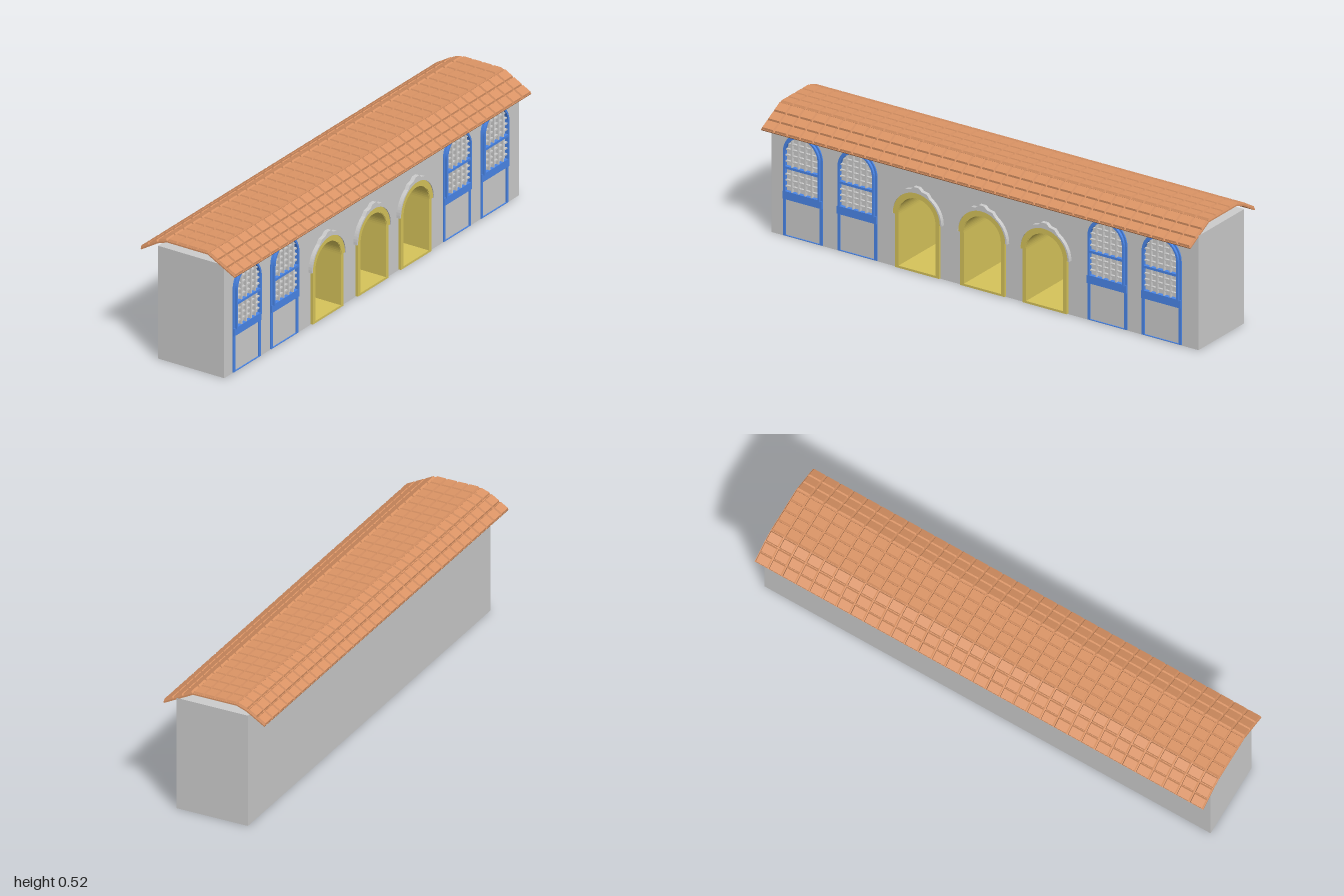
import * as THREE from 'three';
import { mergeGeometries } from 'three/addons/utils/BufferGeometryUtils.js';

const mat = (color) => new THREE.MeshStandardMaterial({ color, flatShading: true });
const GREY = mat(0xcccccc), BLUE = mat(0x4a86e8), YELLOW = mat(0xd6c35a), TILE = mat(0xdb9465);

const mesh = (name, geometry, material) => {
  const m = new THREE.Mesh(geometry, material);
  m.name = name;
  return m;
};
const extrude = (shape, z0, z1) =>
  new THREE.ExtrudeGeometry(shape, { depth: z1 - z0, bevelEnabled: false, curveSegments: 16 }).translate(0, 0, z0);
const block = (x0, x1, y0, y1, z0, z1) =>
  new THREE.BoxGeometry(x1 - x0, y1 - y0, z1 - z0).translate((x0 + x1) / 2, (y0 + y1) / 2, (z0 + z1) / 2);

// Round-headed outline: half width w, foot y0, springing ys
function arch(w, y0, ys, cx = 0, Type = THREE.Shape) {
  const s = new Type();
  s.moveTo(cx - w, y0);
  s.lineTo(cx + w, y0);
  s.lineTo(cx + w, ys);
  s.absarc(cx, ys, w, 0, Math.PI, false);
  s.closePath();
  return s;
}
function archFrame(outer, inner, y0, y1, ys) {
  const s = arch(outer, y0, ys);
  s.holes.push(arch(inner, y1, ys, 0, THREE.Path));
  return s;
}
// Half ring over an arch head
function halfRing(outer, inner, ys) {
  const s = new THREE.Shape();
  s.absarc(0, ys, outer, 0, Math.PI, false);
  s.absarc(0, ys, inner, Math.PI, 0, true);
  s.closePath();
  return s;
}

const FACE = 0.163, BACK = -0.147;
const DOORS = [-0.305, 0, 0.29];
const WINDOWS = [-0.842, -0.588, 0.577, 0.83];

function doorway() {
  const g = new THREE.Group();
  g.name = 'archedDoorway';
  g.add(mesh('passageLining', extrude(archFrame(0.09, 0.086, 0.003, 0.012, 0.228), BACK + 0.007, FACE + 0.001), YELLOW));
  g.add(mesh('doorFrame', extrude(archFrame(0.103, 0.086, 0.003, 0.012, 0.228), FACE, 0.174), YELLOW));
  g.add(mesh('archMoulding', extrude(halfRing(0.113, 0.088, 0.228), FACE, 0.176), YELLOW));
  // Thin hood with a stepped crown
  const crown = new THREE.Shape([
    [-0.07, 0.318], [-0.05, 0.345], [-0.026, 0.35], [-0.012, 0.363], [0.012, 0.363],
    [0.026, 0.35], [0.05, 0.345], [0.07, 0.318], [0.035, 0.335], [0, 0.341], [-0.035, 0.335],
  ].map(([x, y]) => new THREE.Vector2(x, y)));
  g.add(mesh('hoodMould', mergeGeometries([
    extrude(halfRing(0.118, 0.111, 0.228), FACE, 0.18),
    extrude(crown, FACE, 0.18),
  ]), GREY));
  return g;
}

function windowBay() {
  const g = new THREE.Group();
  g.name = 'archedWindow';
  const ys = 0.353;
  // Outer surround runs down to the ground
  g.add(mesh('windowSurround', extrude(archFrame(0.092, 0.08, 0.003, 0.006, ys), FACE, 0.168), BLUE));
  g.add(mesh('sash', extrude(archFrame(0.084, 0.076, 0.187, 0.195, ys), FACE, 0.178), BLUE));
  g.add(mesh('windowRails', mergeGeometries([
    block(-0.092, 0.092, 0.158, 0.19, FACE, 0.172),
    block(-0.08, 0.08, 0.29, 0.3, FACE, 0.178),
  ]), BLUE));
  // Grille bars trimmed to the arch
  const bars = [];
  for (const y of [0.215, 0.24, 0.265, 0.32, 0.345, 0.37, 0.395]) {
    const w = y < ys ? 0.077 : Math.sqrt(0.077 ** 2 - (y - ys) ** 2);
    bars.push(block(-w, w, y - 0.003, y + 0.003, FACE, 0.173));
  }
  for (const x of [-0.046, -0.016, 0.016, 0.046]) {
    bars.push(block(x - 0.003, x + 0.003, 0.19, ys + Math.sqrt(0.077 ** 2 - x * x), FACE, 0.176));
  }
  g.add(mesh('grille', mergeGeometries(bars), GREY));
  return g;
}

// Tile with a narrower raised face, lying on y = 0
function tile(w, h, d) {
  const g = new THREE.BoxGeometry(w, h, d);
  const p = g.attributes.position;
  for (let i = 0; i < p.count; i++) {
    if (p.getY(i) > 0) p.setXYZ(i, p.getX(i) * 0.84, p.getY(i), p.getZ(i) * 0.88);
  }
  return g.translate(0, h / 2, 0);
}

function roof() {
  const g = new THREE.Group();
  g.name = 'tiledRoof';
  // Underside line of the roof and tile columns per slope
  const line = [[-0.218, 0.449], [-0.14, 0.496], [-0.097, 0.511], [0.092, 0.511], [0.217, 0.445]];
  const columns = [2, 1, 4, 3];
  const rows = 33, pitch = 2 / rows, slabs = [], tiles = [];
  columns.forEach((n, k) => {
    const [x0, y0] = line[k], [x1, y1] = line[k + 1];
    const length = Math.hypot(x1 - x0, y1 - y0), angle = Math.atan2(y1 - y0, x1 - x0);
    const place = (geo) => geo.rotateZ(angle).translate(x0, y0, 0);
    slabs.push(place(block(0, length + 0.001, 0, 0.006, -1, 1)));
    for (let c = 0; c < n; c++) {
      for (let r = 0; r < rows; r++) {
        const t = tile(length / n - 0.002, 0.008, pitch - 0.004);
        tiles.push(place(t.translate((c + 0.5) * length / n, 0.006, -1 + (r + 0.5) * pitch)));
      }
    }
  });
  g.add(mesh('roofSlab', mergeGeometries(slabs), TILE));
  g.add(mesh('roofTiles', mergeGeometries(tiles), TILE));
  return g;
}

export function createModel() {
  const model = new THREE.Group();
  model.name = 'arcadeBuilding';

  // Facade is drawn flat, then turned to face +x
  const building = new THREE.Group();
  building.name = 'building';
  building.rotation.y = Math.PI / 2;
  const wall = new THREE.Shape([[-0.99, 0], [1, 0], [1, 0.48], [-0.99, 0.48]].map(([x, y]) => new THREE.Vector2(x, y)));
  DOORS.forEach((x) => wall.holes.push(arch(0.09, 0.003, 0.228, x, THREE.Path)));
  building.add(mesh('walls', extrude(wall, BACK + 0.007, FACE), GREY));
  building.add(mesh('backWall', block(-0.99, 1, 0, 0.48, BACK, BACK + 0.007), GREY));

  const addRow = (make, xs) => xs.forEach((x) => {
    const part = make();
    part.position.x = x;
    building.add(part);
  });
  addRow(doorway, DOORS);
  addRow(windowBay, WINDOWS);

  model.add(building, roof());
  return model;
}
